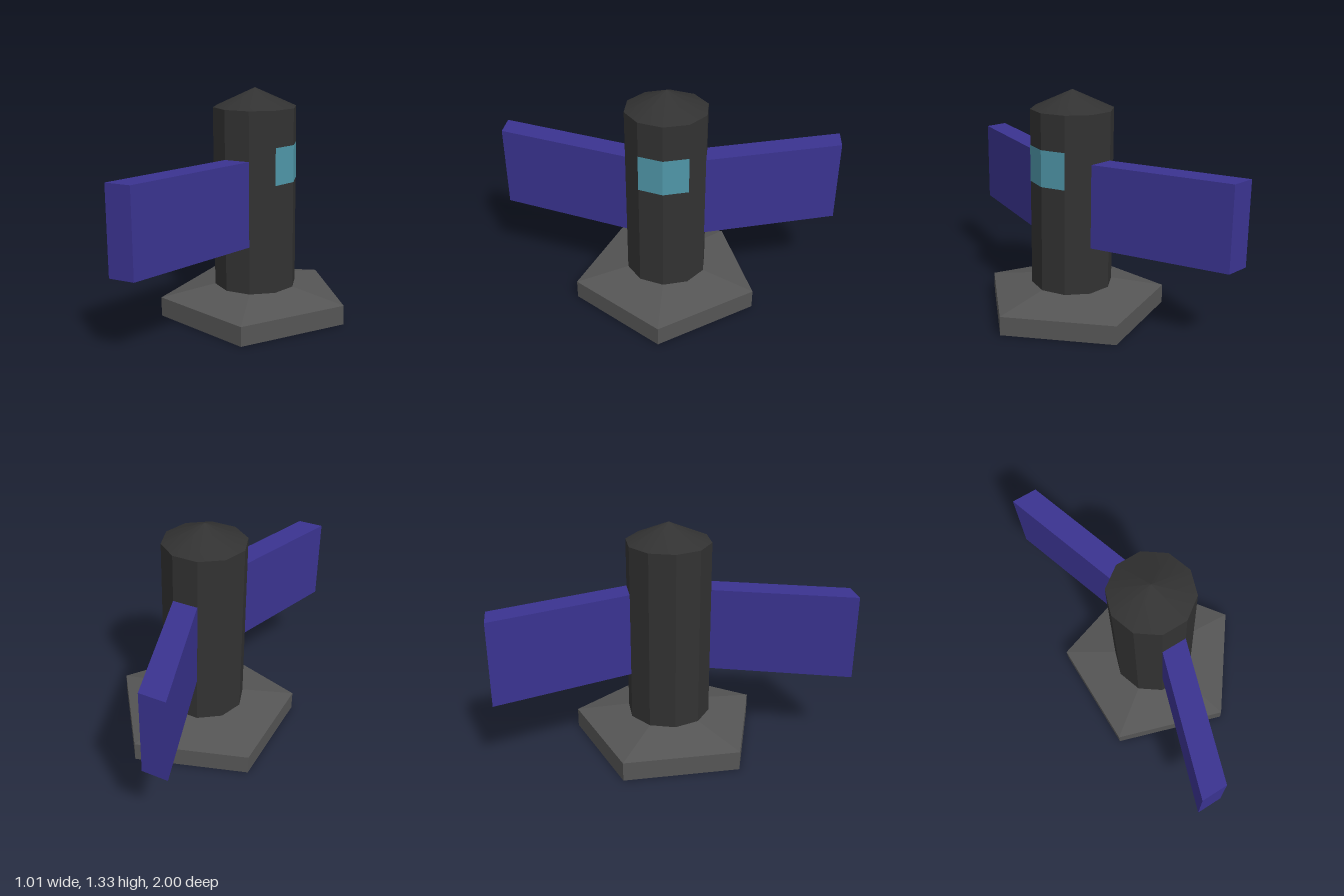
import * as THREE from 'three';

const AXIS_X = -0.055; // the tower stands slightly off centre
const CORNER = Math.PI / 2; // first corner of every prism points to +x

export function createModel() {
  const model = new THREE.Group();
  const material = (color, flatShading = true) => new THREE.MeshStandardMaterial({ color, flatShading });
  const baseColor = 0x555555, towerColor = 0x323232;
  const wingMaterial = material(0x3a3390);
  const windowMaterial = material(0x4f96a8);

  const add = (name, geometry, mat) => {
    const mesh = new THREE.Mesh(geometry, mat);
    mesh.name = name;
    model.add(mesh);
    return mesh;
  };

  // Upright prism or frustum between two heights on the tower axis
  const prism = (name, rTop, rBottom, y0, y1, sides, mat, open = false, start = CORNER, arc = Math.PI * 2) => {
    const geometry = new THREE.CylinderGeometry(rTop, rBottom, y1 - y0, sides, 1, open, start, arc);
    return add(name, geometry.translate(AXIS_X, (y0 + y1) / 2, 0), mat);
  };

  // Five-sided base with a shallow sloping top
  prism('base', 0.56, 0.56, 0, 0.113, 5, material(baseColor));
  prism('baseSlope', 0.24, 0.56, 0.113, 0.18, 5, material(baseColor), true);

  // Ten-sided tower and its pointed roof
  prism('tower', 0.24, 0.24, 0.18, 1.222, 10, material(towerColor));
  prism('roof', 0, 0.24, 1.222, 1.33, 10, material(towerColor, false), true);

  // Window wrapped over the two faces that meet at +x
  prism('window', 0.2415, 0.2415, 0.805, 1.017, 2, windowMaterial, true, CORNER - Math.PI / 5, Math.PI * 0.4);

  // Two slanted wings, mirrored front to back
  for (const side of [1, -1]) {
    const plan = new THREE.Shape([
      new THREE.Vector2(0.019, 0.228 * side),
      new THREE.Vector2(-0.129, 0.228 * side),
      new THREE.Vector2(-0.375, side),
      new THREE.Vector2(-0.227, side),
    ]);
    const geometry = new THREE.ExtrudeGeometry(plan, { depth: 0.487, bevelEnabled: false });
    geometry.rotateX(Math.PI / 2).translate(0, 0.945, 0);
    add(side > 0 ? 'frontWing' : 'backWing', geometry, wingMaterial);
  }
  return model;
}
